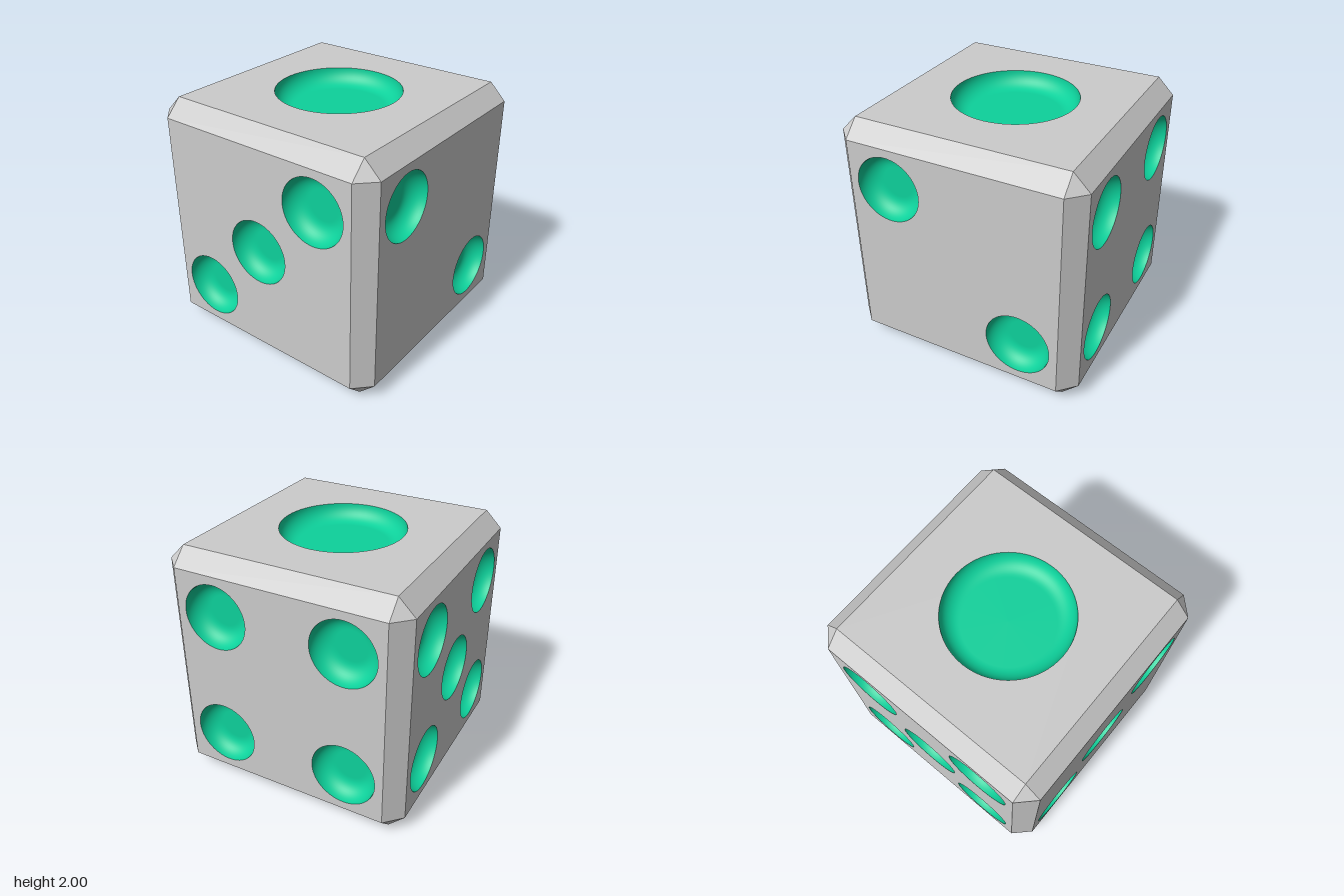
import * as THREE from 'three';
import { mergeGeometries } from 'three/addons/utils/BufferGeometryUtils.js';

const BEVEL = 0.133;       // width of the cut edges, also the depth of the pips
const H = 1 - BEVEL;       // half size of each flat face
const P = 0.533;           // pip offset from the face centre
const Q = Math.PI / 2;

// Flat-bottomed bowl with a rounded wall, opening towards +z
function pipGeometry(radius) {
  const profile = [];
  for (let i = 0; i <= 12; i++) {
    const a = (i / 12) * Q;
    profile.push(new THREE.Vector2(radius - BEVEL * (1 - Math.cos(a)), -BEVEL * Math.sin(a)));
  }
  profile.push(new THREE.Vector2(radius - BEVEL - 0.01, -BEVEL), new THREE.Vector2(0, -BEVEL));
  return new THREE.LatheGeometry(profile, 64).rotateX(Q);
}

// Square panel with round holes, at z = 0
function faceGeometry(pips, radius) {
  const shape = new THREE.Shape([[-H, -H], [H, -H], [H, H], [-H, H]].map(([x, y]) => new THREE.Vector2(x, y)));
  for (const [x, y] of pips) {
    shape.holes.push(new THREE.Path().absarc(x, y, radius, 0, Math.PI * 2, true));
  }
  return new THREE.ShapeGeometry(shape, 32);
}

// Twelve slanted strips along the edges
function edgeGeometry() {
  const strips = [];
  const mid = (1 + H) / 2;
  for (let axis = 0; axis < 3; axis++) {
    for (let k = 0; k < 4; k++) {
      const strip = new THREE.PlaneGeometry(2 * H, BEVEL * Math.SQRT2);
      strip.rotateX(-Math.PI / 4).translate(0, mid, mid).rotateX(k * Q);
      if (axis === 1) strip.rotateZ(Q);
      if (axis === 2) strip.rotateY(Q);
      strips.push(strip);
    }
  }
  return mergeGeometries(strips);
}

// Eight triangles closing the corners
function cornerGeometry() {
  const positions = [];
  for (const x of [-1, 1]) for (const y of [-1, 1]) for (const z of [-1, 1]) {
    const tri = [[x, y * H, z * H], [x * H, y, z * H], [x * H, y * H, z]];
    if (x * y * z < 0) tri.reverse();
    positions.push(...tri.flat());
  }
  const geometry = new THREE.BufferGeometry();
  geometry.setAttribute('position', new THREE.Float32BufferAttribute(positions, 3));
  geometry.computeVertexNormals();
  return geometry;
}

export function createModel() {
  const model = new THREE.Group();
  model.name = 'die';
  const bodyMaterial = new THREE.MeshStandardMaterial({ color: 0xcccccc });
  const pipMaterial = new THREE.MeshStandardMaterial({ color: 0x0dd19b });

  const add = (parent, name, geometry, material) => {
    const mesh = new THREE.Mesh(geometry, material);
    mesh.name = name;
    parent.add(mesh);
    return mesh;
  };

  const diagonal = [[-P, P], [P, -P]];
  const square = [[-P, -P], [P, -P], [-P, P], [P, P]];
  const rows = [-P, P].flatMap((x) => [-0.6, 0, 0.6].map((y) => [x, y]));

  // Each face: rotation about x and y, pip radius and pip positions
  const faces = [
    { name: 'topFace', rx: -Q, ry: 0, radius: 0.5, pips: [[0, 0]] },
    { name: 'leftFace', rx: 0, ry: Q, radius: 0.267, pips: diagonal },
    { name: 'frontFace', rx: 0, ry: 0, radius: 0.267, pips: [[-P, -P], [0, 0], [P, P]] },
    { name: 'backFace', rx: 0, ry: Math.PI, radius: 0.267, pips: square },
    { name: 'rightFace', rx: 0, ry: -Q, radius: 0.267, pips: [...square, [0, 0]] },
    { name: 'bottomFace', rx: Q, ry: 0, radius: 0.233, pips: rows },
  ];

  // Bodies are built around the centre, then lifted to stand on the ground
  const cube = new THREE.Group();
  cube.name = 'cube';
  cube.position.y = 1;
  model.add(cube);

  for (const { name, rx, ry, radius, pips } of faces) {
    const face = new THREE.Group();
    face.name = name;
    face.rotation.set(rx, ry, 0);
    cube.add(face);
    add(face, 'panel', faceGeometry(pips, radius), bodyMaterial).position.z = 1;
    const bowl = pipGeometry(radius);
    for (const [x, y] of pips) add(face, 'pip', bowl, pipMaterial).position.set(x, y, 1);
  }

  add(cube, 'bevelledEdges', edgeGeometry(), bodyMaterial);
  add(cube, 'bevelledCorners', cornerGeometry(), bodyMaterial);
  return model;
}
